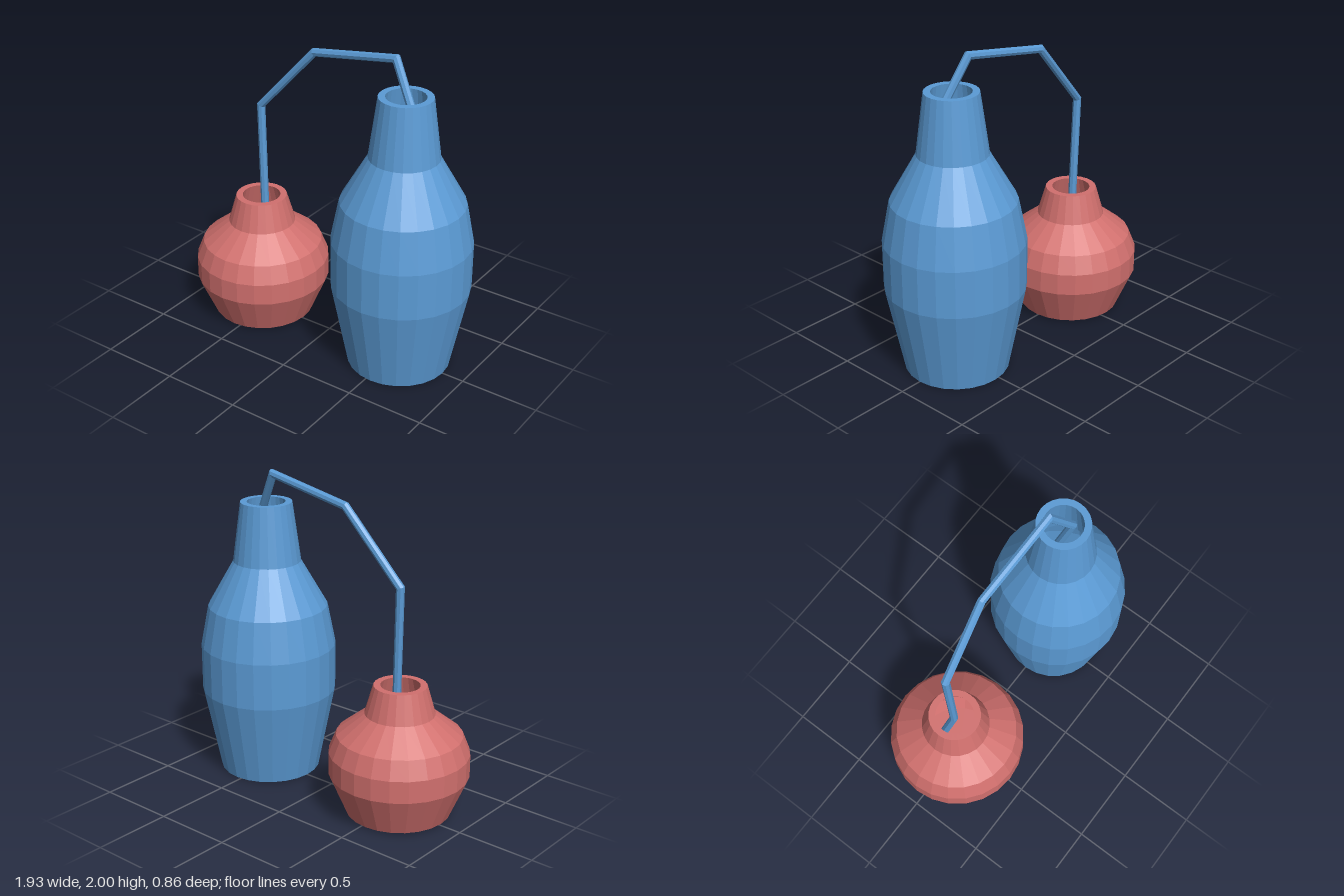
import * as THREE from 'three';

const blue = new THREE.MeshStandardMaterial({ color: 0x5b9bd5, flatShading: true });
const red = new THREE.MeshStandardMaterial({ color: 0xd1706e, flatShading: true });

// Hollow vase: outer profile [radius, y], wall thickness added inside
function vase(name, x, profile, material) {
  const wall = 0.042;
  const base = profile[0];
  const inner = profile.map(([r, y], i) => [r - wall, i === 0 ? y + wall : y]).reverse();
  const points = [[0, base[1]], ...profile, ...inner, [0, base[1] + wall]];
  const geometry = new THREE.LatheGeometry(points.map(([r, y]) => new THREE.Vector2(r, y)), 24);
  const mesh = new THREE.Mesh(geometry, material);
  mesh.name = name;
  mesh.position.x = x;
  return mesh;
}

// Bent pipe with mitred joints: one ring of vertices per path point
function pipe(name, path, radius, sides, material) {
  const pts = path.map((p) => new THREE.Vector3(...p));
  const dirs = pts.slice(1).map((p, i) => p.clone().sub(pts[i]).normalize());
  const positions = [];
  const index = [];
  const u = new THREE.Vector3(0, 0, 1).projectOnPlane(dirs[0]).normalize();
  const v = dirs[0].clone().cross(u);
  let ring = Array.from({ length: sides }, (_, k) => {
    const a = (k / sides) * Math.PI * 2;
    return pts[0].clone().addScaledVector(u, radius * Math.cos(a)).addScaledVector(v, radius * Math.sin(a));
  });
  pts.forEach((p, i) => {
    if (i > 0) {
      // slide the ring along the segment onto the mitre plane
      const d = dirs[i - 1];
      const n = d.clone().add(dirs[i] ?? d).normalize();
      ring = ring.map((q) => q.clone().addScaledVector(d, p.clone().sub(q).dot(n) / d.dot(n)));
    }
    ring.forEach((q) => positions.push(q.x, q.y, q.z));
  });
  const last = (pts.length - 1) * sides;
  for (let k = 0; k < sides; k++) {
    const m = (k + 1) % sides;
    for (let i = 0; i < last; i += sides) {
      index.push(i + k, i + m, i + sides + m, i + k, i + sides + m, i + sides + k);
    }
    // end caps
    if (k > 0 && k < sides - 1) index.push(0, m, k, last, last + k, last + m);
  }
  const geometry = new THREE.BufferGeometry();
  geometry.setAttribute('position', new THREE.Float32BufferAttribute(positions, 3));
  geometry.setIndex(index);
  geometry.computeVertexNormals();
  const mesh = new THREE.Mesh(geometry, material);
  mesh.name = name;
  return mesh;
}

export function createModel() {
  const group = new THREE.Group();
  group.name = 'linkedVases';

  group.add(vase('tallVase', 0.533, [
    [0.323, 0], [0.432, 0.55], [0.432, 0.85], [0.381, 1.11], [0.215, 1.4], [0.163, 1.78],
  ], blue));

  group.add(vase('shortVase', -0.537, [
    [0.325, 0.01], [0.432, 0.26], [0.432, 0.4], [0.386, 0.515], [0.215, 0.65], [0.163, 0.83],
  ], red));

  // Pipe from inside the tall vase, over and down into the short one
  group.add(pipe('connectingPipe', [
    [0.58, 1.3, -0.07], [0.6, 1.68, 0.02], [0.435, 1.975, -0.04], [-0.155, 1.873, -0.06],
    [-0.545, 1.445, -0.03], [-0.525, 0.7, -0.02], [-0.555, 0.3, -0.1],
  ], 0.026, 8, blue));

  return group;
}
